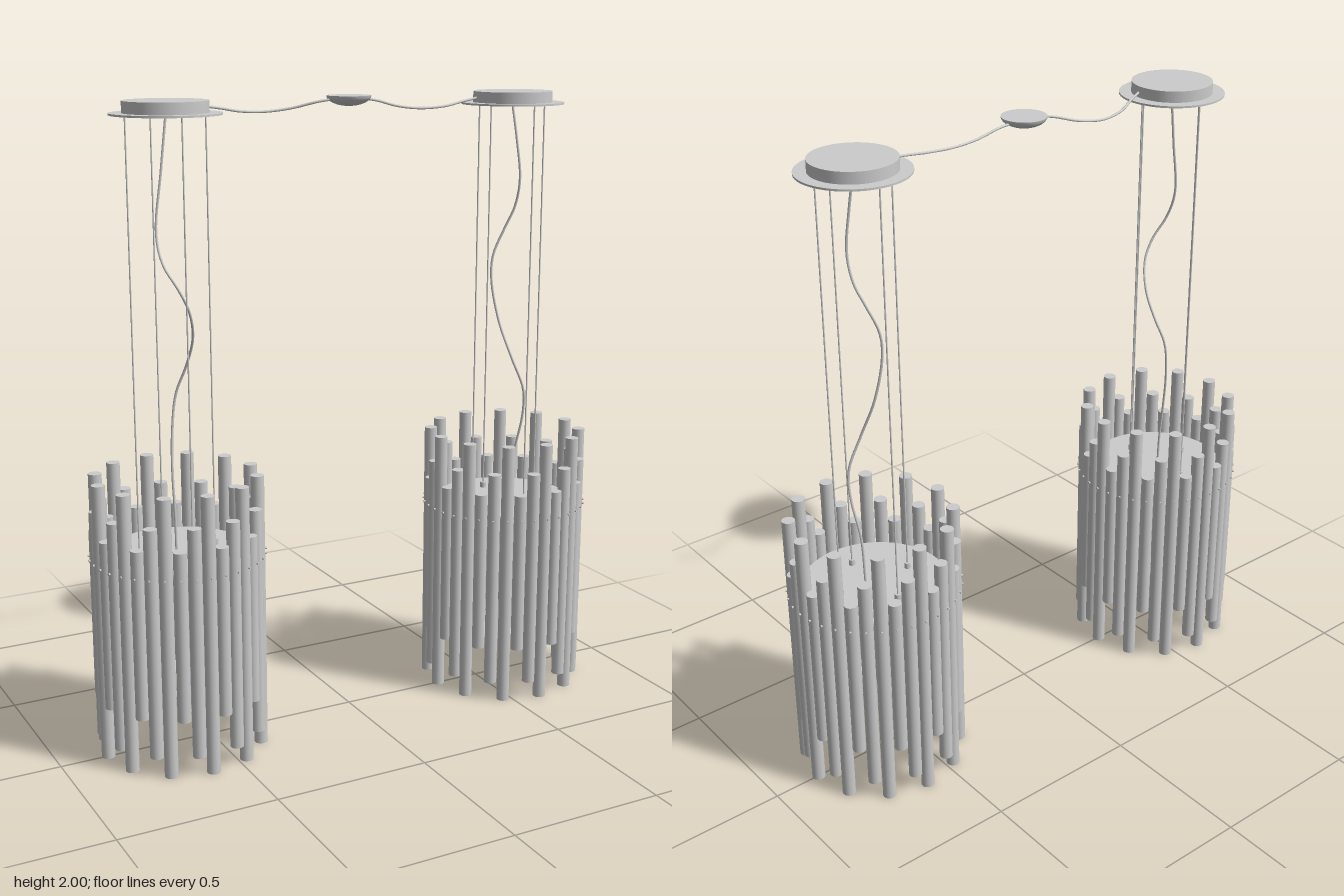
import * as THREE from 'three';

const material = new THREE.MeshStandardMaterial({ color: 0xcccccc });

function add(parent, name, geometry, x = 0, y = 0, z = 0) {
  const mesh = new THREE.Mesh(geometry, material);
  mesh.name = name;
  mesh.position.set(x, y, z);
  parent.add(mesh);
  return mesh;
}

// upright cylinder spanning two heights
function rod(parent, name, radius, y0, y1, x = 0, z = 0, sides = 12) {
  return add(parent, name, new THREE.CylinderGeometry(radius, radius, y1 - y0, sides), x, (y0 + y1) / 2, z);
}

function cable(parent, name, points) {
  const curve = new THREE.CatmullRomCurve3(points.map(p => new THREE.Vector3(...p)));
  return add(parent, name, new THREE.TubeGeometry(curve, 64, 0.004, 8));
}

const RING = 0.249;
const PLATE_Y = 0.63;
// bottom and top of the long, short and medium tubes, in ring order
const TUBES = [
  ['longTube', 0, 0.88],
  ['shortTube', 0.18, 0.715],
  ['mediumTube', 0.06, 0.785],
];

function createPendant(name, x, cablePoints) {
  const pendant = new THREE.Group();
  pendant.name = name;
  pendant.position.x = x;

  // ceiling canopy: thin flange with a drum on top
  rod(pendant, 'canopyFlange', 0.165, 1.959, 1.965, 0, 0, 64);
  rod(pendant, 'canopyDrum', 0.127, 1.965, 2, 0, 0, 64);

  // ring of tubes, each pinned to the plate by a small screw
  for (let i = 0; i < 36; i++) {
    const a = (i / 36) * Math.PI * 2;
    const s = Math.sin(a), c = Math.cos(a);
    const [tubeName, y0, y1] = TUBES[i % 3];
    rod(pendant, tubeName, 0.021, y0, y1, RING * s, RING * c, 16);
    const screw = add(pendant, 'screw', new THREE.CylinderGeometry(0.004, 0.004, 0.008, 8),
      0.271 * s, PLATE_Y, 0.271 * c);
    screw.rotation.set(Math.PI / 2, 0, -a, 'YXZ');
    screw.rotation.y = a;
    screw.rotation.z = 0;
  }

  // carrying plate and the lamp beneath it
  rod(pendant, 'plate', 0.228, PLATE_Y - 0.006, PLATE_Y + 0.006, 0, 0, 64);
  rod(pendant, 'lampSocket', 0.018, 0.47, PLATE_Y, 0, 0, 20);
  const bulb = [[0, 0.26], [0.012, 0.264], [0.02, 0.28], [0.02, 0.45], [0.016, 0.47]];
  add(pendant, 'bulb', new THREE.LatheGeometry(bulb.map(p => new THREE.Vector2(...p)), 20));

  // four suspension wires with their fixing knobs
  for (let i = 0; i < 4; i++) {
    const a = (i / 4) * Math.PI * 2;
    const wx = 0.125 * Math.sin(a), wz = 0.125 * Math.cos(a);
    rod(pendant, 'suspensionWire', 0.0025, PLATE_Y, 1.96, wx, wz, 8);
    rod(pendant, 'wireKnob', 0.01, PLATE_Y, PLATE_Y + 0.025, wx, wz, 12);
  }

  cable(pendant, 'powerCable', cablePoints);
  return pendant;
}

export function createModel() {
  const model = new THREE.Group();
  model.name = 'doublePendantLamp';

  model.add(createPendant('rightPendant', -0.597, [
    [0, 1.96, 0], [-0.02, 1.8, 0.002], [-0.043, 1.62, 0.008], [-0.035, 1.53, 0.035], [0, 1.46, 0.058],
    [0.035, 1.39, 0.055], [0.06, 1.3, 0.018], [0.052, 1.21, -0.02], [0.025, 1.12, -0.044],
    [0.008, 1.0, -0.04], [0, 0.88, -0.026], [0, 0.75, -0.014], [0, PLATE_Y, -0.01],
  ]));
  model.add(createPendant('leftPendant', 0.597, [
    [0, 1.96, 0], [0.008, 1.85, 0.018], [0.017, 1.72, 0.029], [0.01, 1.63, 0.014], [-0.015, 1.56, -0.004],
    [-0.05, 1.47, -0.017], [-0.056, 1.39, -0.015], [-0.035, 1.25, 0.004], [-0.005, 1.13, 0.04],
    [0.035, 1.02, 0.055], [0.04, 0.93, 0.047], [0.025, 0.79, 0.024], [0.02, PLATE_Y, 0.02],
  ]));

  // central ceiling rose: shallow bowl closed by a flat top
  const bowl = [[0, 1.968]];
  for (let i = 1; i <= 8; i++) {
    const a = (i / 8) * Math.PI / 2;
    bowl.push([0.069 * Math.sin(a), 2 - 0.032 * Math.cos(a)]);
  }
  add(model, 'ceilingRose', new THREE.LatheGeometry(bowl.map(p => new THREE.Vector2(...p)), 48));
  const lid = add(model, 'ceilingRoseTop', new THREE.CircleGeometry(0.069, 48), 0, 2, 0);
  lid.rotation.x = -Math.PI / 2;

  // slack cables from the rose to each canopy
  cable(model, 'rightLinkCable', [
    [-0.475, 1.98, 0.02], [-0.42, 1.972, -0.005], [-0.34, 1.959, -0.044], [-0.25, 1.955, -0.062],
    [-0.17, 1.964, -0.048], [-0.1, 1.982, -0.017], [-0.05, 1.99, -0.004],
  ]);
  cable(model, 'leftLinkCable', [
    [0.05, 1.99, -0.008], [0.1, 1.982, -0.004], [0.17, 1.964, 0], [0.25, 1.955, 0.005],
    [0.34, 1.959, 0.004], [0.42, 1.972, -0.012], [0.475, 1.98, -0.022],
  ]);
  return model;
}
